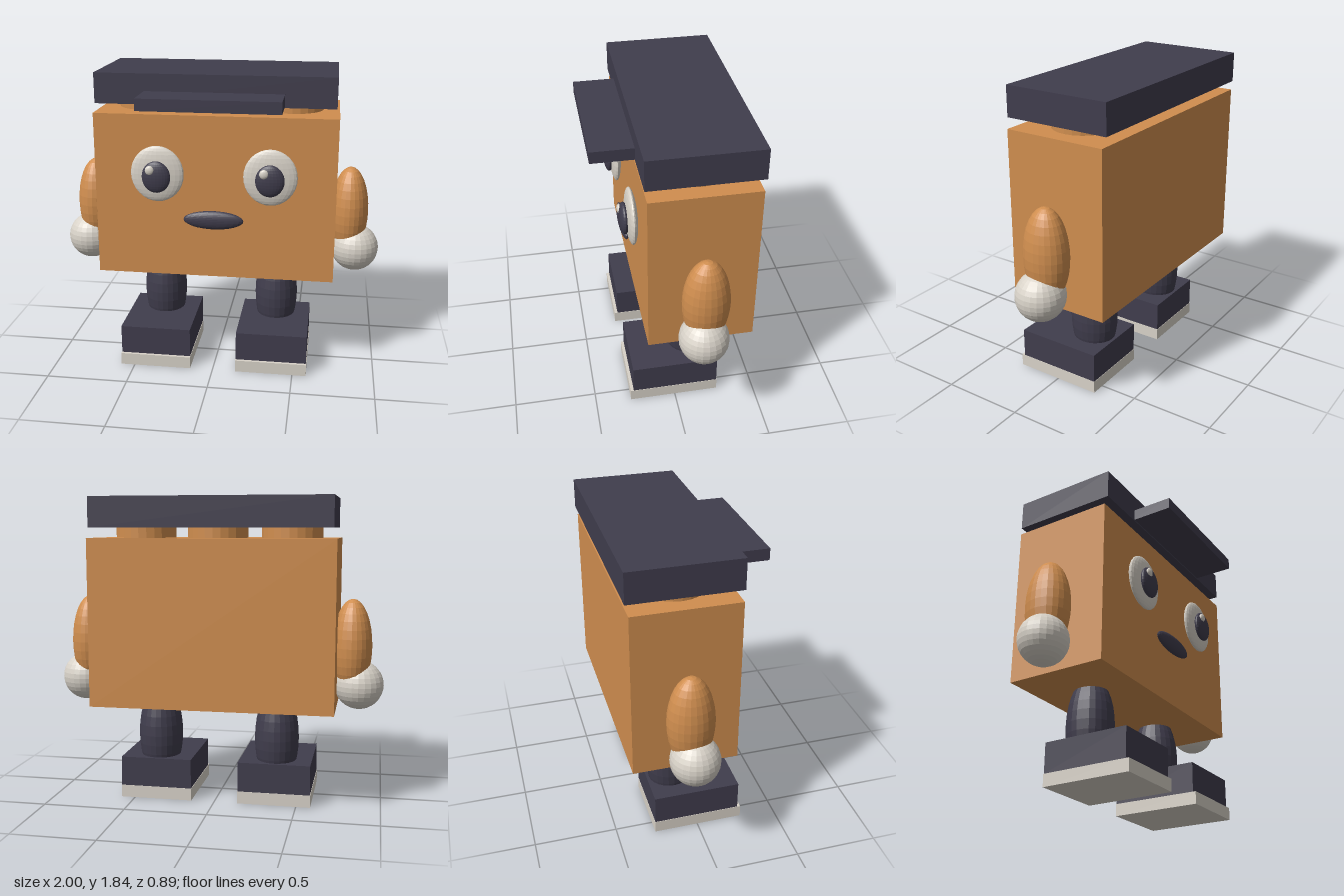
import * as THREE from 'three';

export function createModel() {
  const model = new THREE.Group();
  model.name = 'boxRobot';

  const mat = (name, color) => {
    const m = new THREE.MeshStandardMaterial({ color, flatShading: true });
    m.name = name;
    return m;
  };
  const orange = mat('orange', 0xd08e4f);
  const dark = mat('charcoal', 0x403d4d);
  const pale = mat('offWhite', 0xd8d2c8);

  const add = (name, geometry, material, x, y, z, parent = model) => {
    const mesh = new THREE.Mesh(geometry, material);
    mesh.name = name;
    mesh.position.set(x, y, z);
    parent.add(mesh);
    return mesh;
  };
  // Box given by its centre x, width, and y and z ranges
  const box = (name, material, x, w, y0, y1, z0, z1, parent) =>
    add(name, new THREE.BoxGeometry(w, y1 - y0, z1 - z0), material, x, (y0 + y1) / 2, (z0 + z1) / 2, parent);
  // Ellipsoid given by centre and three radii
  const ball = (name, material, [x, y, z], [rx, ry, rz], parent) =>
    add(name, new THREE.SphereGeometry(1, 24, 16).scale(rx, ry, rz), material, x, y, z, parent);

  // Body and the studs that carry the cap
  box('body', orange, 0, 1.45, 0.6, 1.6, -0.43, 0.19);
  for (const x of [-0.446, 0, 0.446])
    add('stud', new THREE.CylinderGeometry(0.182, 0.182, 0.1, 24), orange, x, 1.64, -0.12);

  // Flat cap with brim
  box('cap', dark, 0, 1.415, 1.66, 1.84, -0.445, 0.2);
  box('capBrim', dark, 0, 0.82, 1.668, 1.738, 0.15, 0.445);

  // Mouth
  ball('mouth', dark, [0, 0.975, 0.224], [0.181, 0.057, 0.03]);

  for (const [side, s] of [['left', 1], ['right', -1]]) {
    // Eye; the glint sits on the same side of both pupils
    const eye = new THREE.Group();
    eye.name = side + 'Eye';
    eye.position.set(s * 0.337, 1.25, 0.22);
    ball('eyeWhite', pale, [0, 0, 0], [0.16, 0.17, 0.034], eye);
    ball('pupil', dark, [0, -0.01, 0.04], [0.086, 0.096, 0.031], eye);
    ball('glint', pale, [-0.034, 0.035, 0.062], [0.027, 0.028, 0.015], eye);
    model.add(eye);

    // Arm and hand
    const arm = new THREE.Group();
    arm.name = side + 'Arm';
    ball('arm', orange, [s * 0.81, 0.96, -0.12], [0.117, 0.285, 0.136], arm);
    ball('hand', pale, [s * 0.853, 0.73, -0.105], [0.147, 0.147, 0.144], arm);
    model.add(arm);

    // Leg, shoe and sole
    const leg = new THREE.Group();
    leg.name = side + 'Leg';
    ball('leg', dark, [s * 0.365, 0.39, -0.122], [0.135, 0.31, 0.144], leg);
    box('shoe', dark, s * 0.364, 0.438, 0.075, 0.255, -0.268, 0.262, leg);
    box('sole', pale, s * 0.364, 0.443, 0, 0.075, -0.27, 0.281, leg);
    model.add(leg);
  }
  return model;
}
